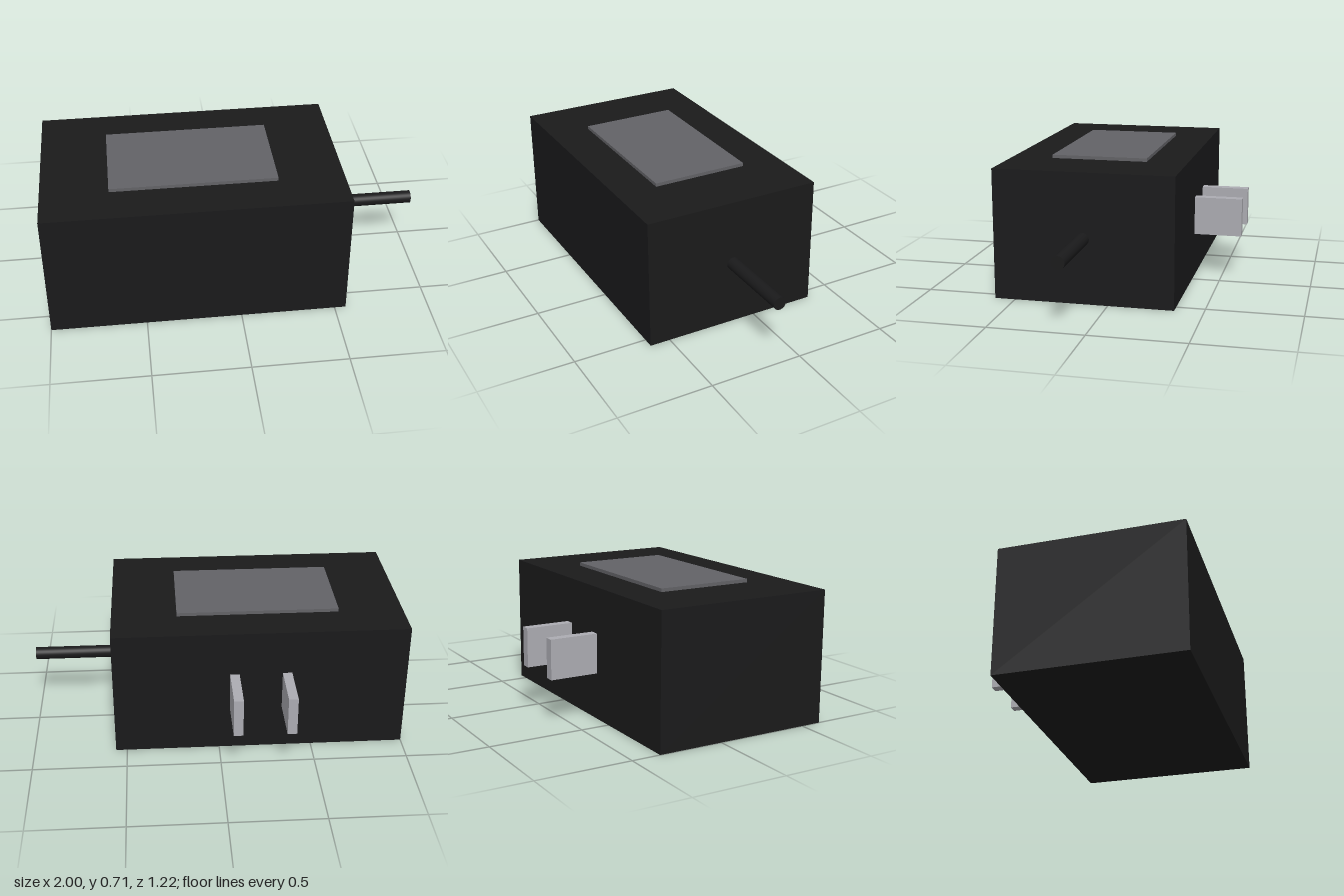
import * as THREE from 'three';

export function createModel() {
  const model = new THREE.Group();
  const mat = (color) => new THREE.MeshStandardMaterial({ color });
  const black = mat(0x1a1a1b);
  const labelGrey = mat(0x626266);
  const metal = mat(0xacacb2);

  // Box given by its lower and upper corners
  function box(name, [x0, y0, z0], [x1, y1, z1], material) {
    const mesh = new THREE.Mesh(new THREE.BoxGeometry(x1 - x0, y1 - y0, z1 - z0), material);
    mesh.position.set((x0 + x1) / 2, (y0 + y1) / 2, (z0 + z1) / 2);
    mesh.name = name;
    model.add(mesh);
  }

  // Adapter housing and the raised label plate on top
  box('housing', [-1, 0, -0.348], [0.56, 0.695, 0.609], black);
  box('labelPlate', [-0.652, 0.695, -0.131], [0.213, 0.713, 0.387], labelGrey);

  // Two flat plug blades on the back
  for (const [name, x] of [['rightBlade', -0.36], ['leftBlade', -0.082]]) {
    box(name, [x - 0.025, 0.245, -0.609], [x + 0.025, 0.455, -0.348], metal);
  }

  // Cable stub leaving the left side
  const cable = new THREE.Mesh(new THREE.CylinderGeometry(0.034, 0.034, 0.44, 32), black);
  cable.rotation.z = -Math.PI / 2;
  cable.position.set(0.78, 0.348, 0.13);
  cable.name = 'cable';
  model.add(cable);

  return model;
}
